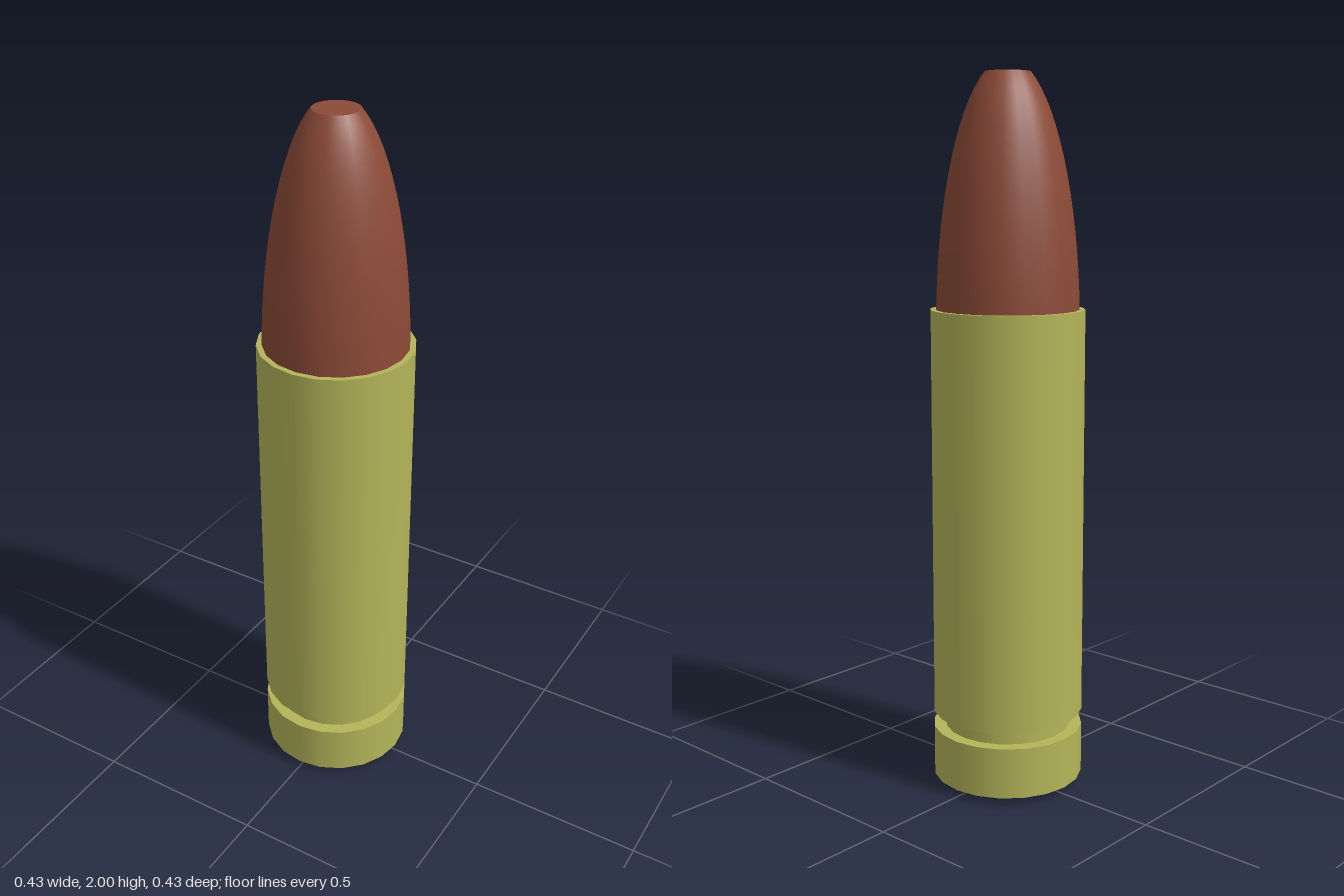
import * as THREE from 'three';

const SIDES = 20;
const brass = new THREE.MeshStandardMaterial({ color: 0xb5b55a });
const copper = new THREE.MeshStandardMaterial({ color: 0x8c4a37 });
const steel = new THREE.MeshStandardMaterial({ color: 0xa4a4a8 });

export function createModel() {
  const model = new THREE.Group();

  const add = (name, geometry, material, y = 0) => {
    const mesh = new THREE.Mesh(geometry, material);
    mesh.name = name;
    mesh.position.y = y;
    model.add(mesh);
  };
  // Upright closed cylinder between two heights
  const disc = (name, radius, y0, y1, material) =>
    add(name, new THREE.CylinderGeometry(radius, radius, y1 - y0, SIDES), material, (y0 + y1) / 2);

  // Casing, stacked from the base up
  disc('primer', 0.065, 0, 0.03, steel);
  disc('rim', 0.215, 0.02, 0.165, brass);
  disc('extractorGroove', 0.18, 0.16, 0.22, brass);
  disc('caseBody', 0.215, 0.21, 1.365, brass);

  // Elliptical nose, cut flat at the tip and seated in the case
  const tipRadius = 0.063, radius = 0.2, seat = 1.3, top = 2;
  const endAngle = Math.acos(tipRadius / radius);
  const height = (top - seat) / Math.sin(endAngle);
  const profile = [];
  for (let i = 0; i <= 16; i++) {
    const a = endAngle * i / 16;
    profile.push(new THREE.Vector2(radius * Math.cos(a), seat + height * Math.sin(a)));
  }
  add('bulletNose', new THREE.LatheGeometry(profile, SIDES), copper);

  // Flat tip
  const tip = new THREE.CircleGeometry(tipRadius, SIDES).rotateX(-Math.PI / 2);
  add('bulletTip', tip, copper, top);

  return model;
}
